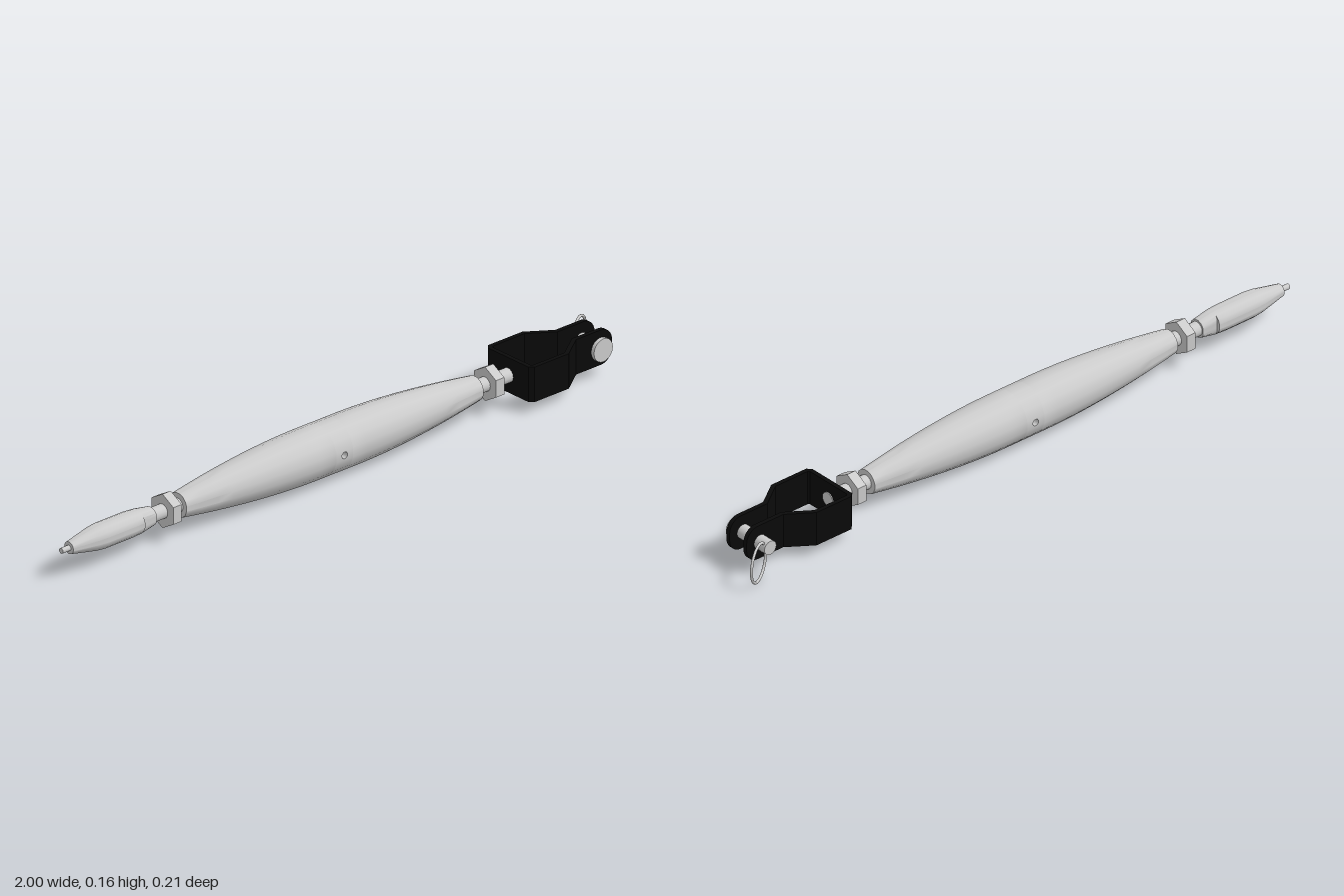
import * as THREE from 'three';
import { toCreasedNormals } from 'three/addons/utils/BufferGeometryUtils.js';

const SIDES = 16;
const grey = new THREE.MeshStandardMaterial({ color: 0xcccccc });
const thin = new THREE.MeshStandardMaterial({ color: 0xcccccc, side: THREE.DoubleSide });
const black = new THREE.MeshStandardMaterial({ color: 0x0a0a0a });

// Turned surface along x from [x, radius] points
function turned(points, start = -Math.PI / SIDES, sides = SIDES) {
  const profile = points.map(([x, r]) => new THREE.Vector2(r, x));
  return new THREE.LatheGeometry(profile, sides, start, (sides / SIDES) * Math.PI * 2).rotateZ(-Math.PI / 2);
}

function rodGeometry(x0, x1, r) {
  return new THREE.CylinderGeometry(r, r, x1 - x0, SIDES).rotateZ(Math.PI / 2).translate((x0 + x1) / 2, 0, 0);
}

export function createModel() {
  const model = new THREE.Group();
  model.name = 'turnbuckle';
  const add = (parent, name, geometry, material = grey) => {
    const mesh = new THREE.Mesh(geometry, material);
    mesh.name = name;
    parent.add(mesh);
    return mesh;
  };

  // Barrel: two tapering ends around a short straight band with a cross hole
  const body = new THREE.Group();
  body.name = 'body';
  model.add(body);
  const mid = -0.045, half = 0.535, R = 0.075, band = 0.03;
  const radius = (u) => 0.036 + 0.039 * (1 - Math.pow(Math.max(0, (u - 0.08) / 0.455), 1.75));
  const taper = [];
  for (let i = 0; i <= 10; i++) {
    const u = band + (half - band) * (i / 10);
    taper.push([u, radius(u)]);
  }
  taper.push([half, 0]);
  for (const s of [-1, 1]) {
    const pts = taper.map(([u, r]) => [mid + s * u, r]);
    if (s < 0) pts.reverse();
    add(body, s < 0 ? 'rightTaper' : 'leftTaper', toCreasedNormals(turned(pts), 0.7));
  }
  const step = Math.PI / SIDES;
  for (const s of [0, 1]) {
    const side = turned([[mid - band, R], [mid + band, R]], step + s * Math.PI, SIDES / 2 - 1);
    add(body, 'middleBand', side);
    // Facet pierced by the hole
    const w = R * Math.sin(step);
    const facet = new THREE.Shape([[-band, -w], [band, -w], [band, w], [-band, w]].map((p) => new THREE.Vector2(...p)));
    facet.holes.push(new THREE.Path().absarc(0, 0, 0.01, 0, Math.PI * 2, true));
    const g = new THREE.ShapeGeometry(facet, 8);
    for (let i = 0; i < g.attributes.position.count; i++) {
      const a = Math.asin(g.attributes.position.getY(i) / R);
      g.attributes.normal.setXYZ(i, 0, Math.sin(a), Math.cos(a));
    }
    g.translate(0, 0, R * Math.cos(step)).rotateY(s * Math.PI).translate(mid, 0, 0);
    add(body, 'holeFacet', g);
  }
  const bore = new THREE.CylinderGeometry(0.01, 0.01, 2 * R * Math.cos(step), 16, 1, true);
  add(body, 'crossHole', bore.rotateX(Math.PI / 2).translate(mid, 0, 0), thin);

  // Threaded rods and lock nuts
  add(model, 'rightRod', rodGeometry(-0.69, -0.57, 0.021));
  add(model, 'leftRod', rodGeometry(0.48, 0.626, 0.021));
  for (const x of [-0.62, 0.542]) {
    const nut = new THREE.CylinderGeometry(0.05, 0.05, 0.03, 6).rotateY(Math.PI / 6).rotateZ(Math.PI / 2);
    add(model, 'lockNut', toCreasedNormals(nut.translate(x, 0, 0), 0.5));
  }

  // Swaged wire end, with two wrench flats near the rod
  const swage = turned([[-0.972, 0], [-0.972, 0.018], [-0.89, 0.034], [-0.86, 0.037], [-0.76, 0.037],
    [-0.728, 0.035], [-0.727, 0.035], [-0.678, 0.027], [-0.678, 0]]);
  const p = swage.attributes.position;
  for (let i = 0; i < p.count; i++) {
    if (p.getX(i) > -0.7275) p.setZ(i, THREE.MathUtils.clamp(p.getZ(i), -0.025, 0.025));
  }
  add(model, 'swageFitting', toCreasedNormals(swage, 0.6));
  add(model, 'wire', rodGeometry(-1, -0.96, 0.008));

  // Fork: bent strap, open above and below
  const fork = new THREE.Group();
  fork.name = 'fork';
  model.add(fork);
  const H = 0.103, T = 0.013, end = 0.83;
  const outer = [[0.61, 0.08], [0.622, 0.092], [0.745, 0.092], [0.818, 0.041], [end, 0.041]];
  const inner = [[end, 0.041 - T], [0.814, 0.041 - T], [0.741, 0.092 - T], [0.628, 0.092 - T], [0.623, 0.075]];
  const upper = [...outer, ...inner];
  const lower = upper.map(([x, z]) => [x, -z]).reverse();
  const strap = new THREE.Shape([...upper, ...lower].map((q) => new THREE.Vector2(...q)));
  add(fork, 'strap', new THREE.ExtrudeGeometry(strap, { depth: H, bevelEnabled: false })
    .translate(0, 0, -H / 2).rotateX(-Math.PI / 2), black);

  // Rounded fork tips with pin holes
  const tip = new THREE.Shape();
  const tx = 0.947, c = 0.04;
  tip.moveTo(end, -H / 2);
  tip.lineTo(tx - c, -H / 2);
  tip.absarc(tx - c, -H / 2 + c, c, -Math.PI / 2, 0, false);
  tip.absarc(tx - c, H / 2 - c, c, 0, Math.PI / 2, false);
  tip.lineTo(end, H / 2);
  tip.holes.push(new THREE.Path().absarc(0.9, 0, 0.021, 0, Math.PI * 2, true));
  for (const z of [0.041 - T, -0.041]) {
    const g = new THREE.ExtrudeGeometry(tip, { depth: T, bevelEnabled: false, curveSegments: 8 });
    add(fork, 'forkTip', toCreasedNormals(g.translate(0, 0, z), 0.6), black);
  }

  // Clevis pin with head, and split ring through its far end
  const pin = (r, z0, z1) => new THREE.CylinderGeometry(r, r, z1 - z0, 20)
    .rotateX(Math.PI / 2).translate(0.9, 0, (z0 + z1) / 2);
  add(model, 'pin', pin(0.021, -0.083, 0.05));
  add(model, 'pinHead', pin(0.034, 0.047, 0.059));
  add(model, 'splitRing', new THREE.TorusGeometry(0.0545, 0.004, 8, 32)
    .rotateY(0.5).translate(0.948, -0.0245, -0.09));

  model.position.set(0, 0.083, 0.012);
  const root = new THREE.Group();
  root.add(model);
  return root;
}
